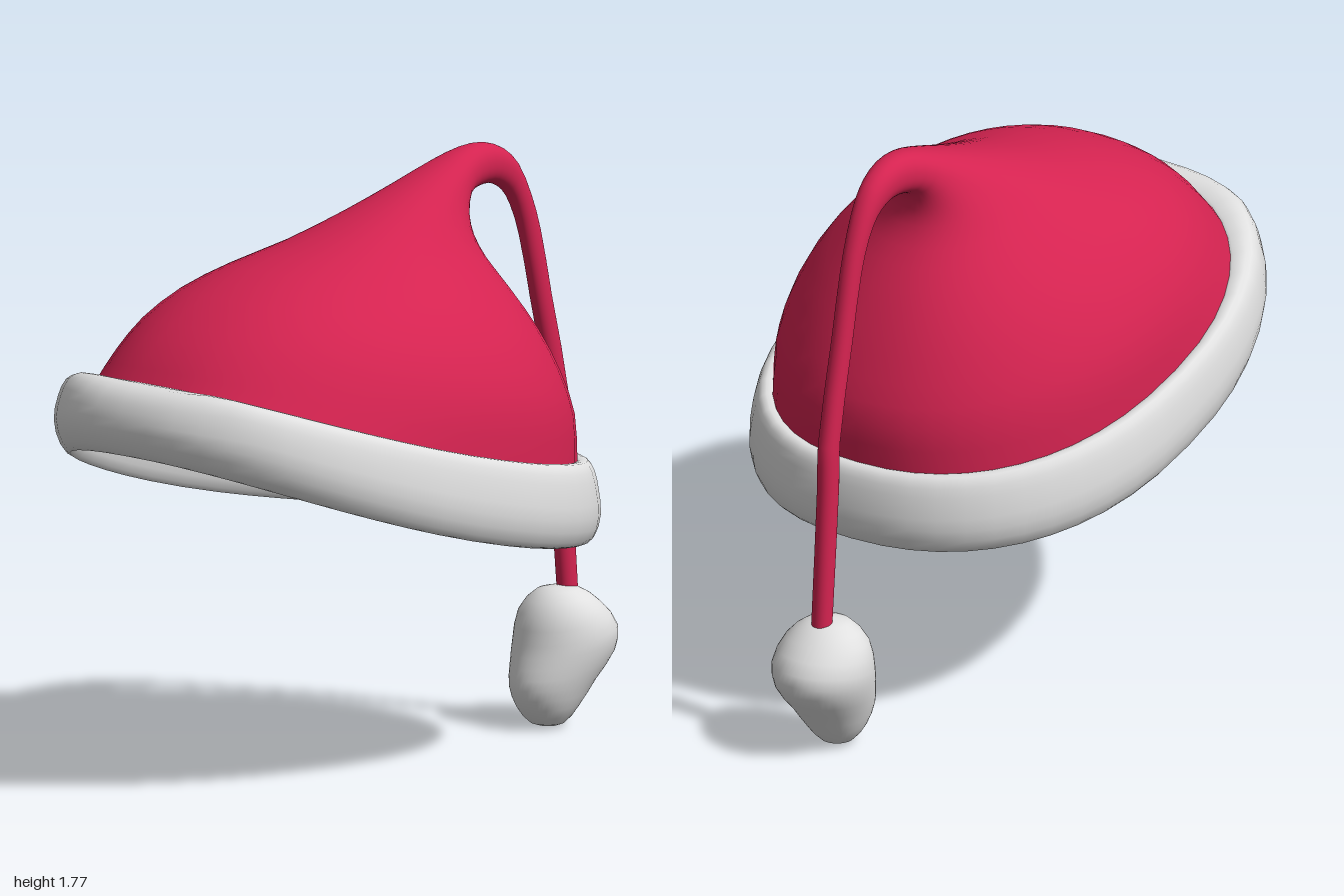
import * as THREE from 'three';

const SEG = 48;

// Rounded oval: unit x and z for step j around a ring, starting at the front
function oval(j, power = 2.3) {
  const t = (j / SEG) * Math.PI * 2;
  const round = (v) => Math.sign(v) * Math.pow(Math.abs(v), 2 / power);
  return [round(Math.sin(t)), round(Math.cos(t))];
}

const makeRing = (fn) => Array.from({ length: SEG }, (_, j) => fn(j));

// Ring spanning a front point and a back point, with a half width and a sag at the sides
function spanRing([fz, fy, bz, by, w, sag = 0], power) {
  return makeRing((j) => {
    const [x, z] = oval(j, power);
    return new THREE.Vector3(
      x * w,
      (fy + by) / 2 + (z * (fy - by)) / 2 - sag * (1 - z * z),
      (fz + bz) / 2 + (z * (fz - bz)) / 2
    );
  });
}

// Smooth skin through a list of rings
function loft(rings, steps) {
  const rows = (rings.length - 1) * steps;
  const pos = [];
  const index = [];
  const columns = makeRing((j) => new THREE.CatmullRomCurve3(rings.map((r) => r[j])));
  for (let i = 0; i <= rows; i++) {
    columns.forEach((c) => pos.push(...c.getPoint(i / rows).toArray()));
  }
  for (let i = 0; i < rows; i++) {
    for (let j = 0; j < SEG; j++) {
      const k = (j + 1) % SEG;
      const a = i * SEG + j, b = i * SEG + k;
      index.push(a, b, b + SEG, a, b + SEG, a + SEG);
    }
  }
  const geo = new THREE.BufferGeometry();
  geo.setAttribute('position', new THREE.Float32BufferAttribute(pos, 3));
  geo.setIndex(index);
  geo.computeVertexNormals();
  return geo;
}

// Upper and lower edge heights of the tilted fur band
const topY = (z) => {
  const c = Math.min(z, 0.86);
  return 0.98 + 0.2247 * c + 0.0903 * c * c;
};
const bottomY = (z) => 0.725 + 0.2176 * z + 0.1118 * z * z;

// Ring on the band: inset = fixed + scale * edge inset, v = 0 bottom to 1 top
function bandRing([fixed, scale, v]) {
  return makeRing((j) => {
    const [x, nz] = oval(j);
    const d = fixed + scale * (0.06 + 0.08 * Math.max(0, nz) ** 2);
    const z = 0.14 + nz * (0.86 - d);
    return new THREE.Vector3(x * (0.655 - d), THREE.MathUtils.lerp(bottomY(z), topY(z), v), z);
  });
}

export function createModel() {
  const red = new THREE.MeshStandardMaterial({ color: 0xd42350, side: THREE.DoubleSide });
  red.name = 'red felt';
  const white = new THREE.MeshStandardMaterial({ color: 0xe0e0e0, side: THREE.DoubleSide });
  white.name = 'white fur';

  const group = new THREE.Group();
  const add = (name, geo, mat) => {
    const mesh = new THREE.Mesh(geo, mat);
    mesh.name = name;
    group.add(mesh);
  };

  // Fur band: inner wall down, round the lower lip, outer wall up
  const band = [
    [0.012, 1, 0.96], [0.075, 0, 0.5], [0.065, 0, 0.15], [0.045, 0, 0], [0.018, 0, 0.08],
    [0, 0, 0.35], [0, 0.1, 0.65], [0, 0.3, 0.88], [0, 0.6, 0.99], [0, 1, 0.99], [0.012, 1, 0.96],
  ].map(bandRing);
  add('furBand', loft(band, 2), white);

  // Cap body flowing into the drooping tail: front z, y, back z, y, half width, sag
  const cap = [
    [0.79, 1.31, -0.66, 1.0, 0.572, 0.03],
    [0.7, 1.385, -0.62, 1.12, 0.525, 0.01],
    [0.58, 1.455, -0.56, 1.25, 0.445],
    [0.42, 1.515, -0.49, 1.37, 0.34],
    [0.22, 1.565, -0.42, 1.47, 0.245],
    [0, 1.635, -0.39, 1.53, 0.175],
    [-0.18, 1.7, -0.383, 1.58, 0.122],
    [-0.33, 1.755, -0.4, 1.635, 0.082],
    [-0.42, 1.78, -0.45, 1.655, 0.06],
    [-0.5, 1.782, -0.51, 1.66, 0.05],
    [-0.57, 1.757, -0.545, 1.65, 0.044],
    [-0.625, 1.71, -0.585, 1.625, 0.038],
    [-0.68, 1.61, -0.62, 1.575, 0.033],
    [-0.72, 1.5, -0.655, 1.48, 0.03],
    [-0.765, 1.3, -0.7, 1.29, 0.03],
    [-0.838, 0.98, -0.768, 0.98, 0.03],
    [-0.842, 0.85, -0.772, 0.85, 0.03],
    [-0.872, 0.41, -0.81, 0.41, 0.03],
  ].map((r) => spanRing(r, 2.15));
  add('capAndTail', loft([bandRing([0.006, 1, 0.97]), ...cap], 2), red);

  // Slanted fur pompom, from its lower tip up to the tail
  const pompom = [
    [-0.764, 0.01, -0.766, 0.01, 0.001],
    [-0.71, 0.022, -0.81, 0.022, 0.05],
    [-0.665, 0.07, -0.86, 0.075, 0.088],
    [-0.642, 0.13, -0.92, 0.15, 0.115],
    [-0.652, 0.19, -0.99, 0.235, 0.138],
    [-0.672, 0.26, -0.992, 0.305, 0.148],
    [-0.69, 0.345, -0.93, 0.375, 0.125],
    [-0.74, 0.41, -0.865, 0.418, 0.065],
    [-0.799, 0.424, -0.801, 0.424, 0.001],
  ].map((r) => spanRing(r, 2));
  add('pompom', loft(pompom, 2), white);

  return group;
}
